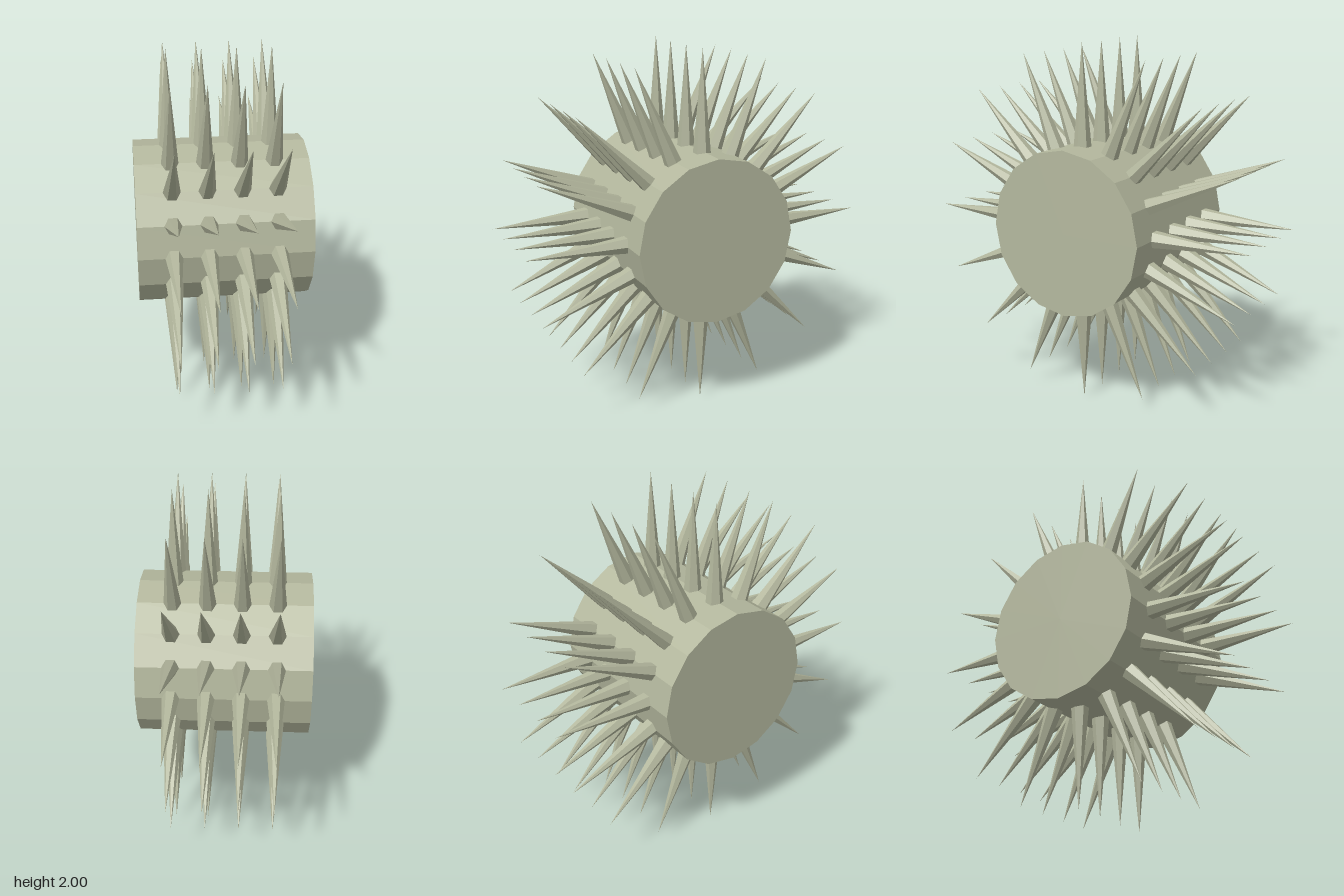
import * as THREE from 'three';

const SIDES = 16;        // body facets and spikes per ring
const BODY_RADIUS = 0.455;
const BODY_LENGTH = 0.94;
const SPIKE_BASE = 0.42; // distance of the spike base from the axis
const SPIKE_TIP = 1.0;

export function createModel() {
  const model = new THREE.Group();
  model.name = 'spikedRoller';
  const material = new THREE.MeshStandardMaterial({ color: 0xb4b89e, flatShading: true });

  // Axis through the middle of the roller
  const roller = new THREE.Group();
  roller.name = 'roller';
  roller.position.y = 1;
  model.add(roller);

  // Faceted drum lying along x, with a corner at the very top
  const drumGeometry = new THREE.CylinderGeometry(BODY_RADIUS, BODY_RADIUS, BODY_LENGTH, SIDES);
  drumGeometry.rotateZ(Math.PI / 2);
  const drum = new THREE.Mesh(drumGeometry, material);
  drum.name = 'drum';
  roller.add(drum);

  // Six-sided spike pointing outward, widest along x
  const length = SPIKE_TIP - SPIKE_BASE;
  const spikeGeometry = new THREE.ConeGeometry(0.05, length, 6);
  spikeGeometry.rotateY(Math.PI / 2);
  spikeGeometry.translate(0, SPIKE_BASE + length / 2, 0);

  // Four rings of spikes, one spike on every corner of the drum
  for (const x of [-0.28, -0.093, 0.093, 0.28]) {
    const ring = new THREE.Group();
    ring.name = 'spikeRing';
    ring.position.x = x;
    for (let i = 0; i < SIDES; i++) {
      const spike = new THREE.Mesh(spikeGeometry, material);
      spike.name = 'spike';
      spike.rotation.x = (i / SIDES) * Math.PI * 2;
      ring.add(spike);
    }
    roller.add(ring);
  }

  return model;
}
